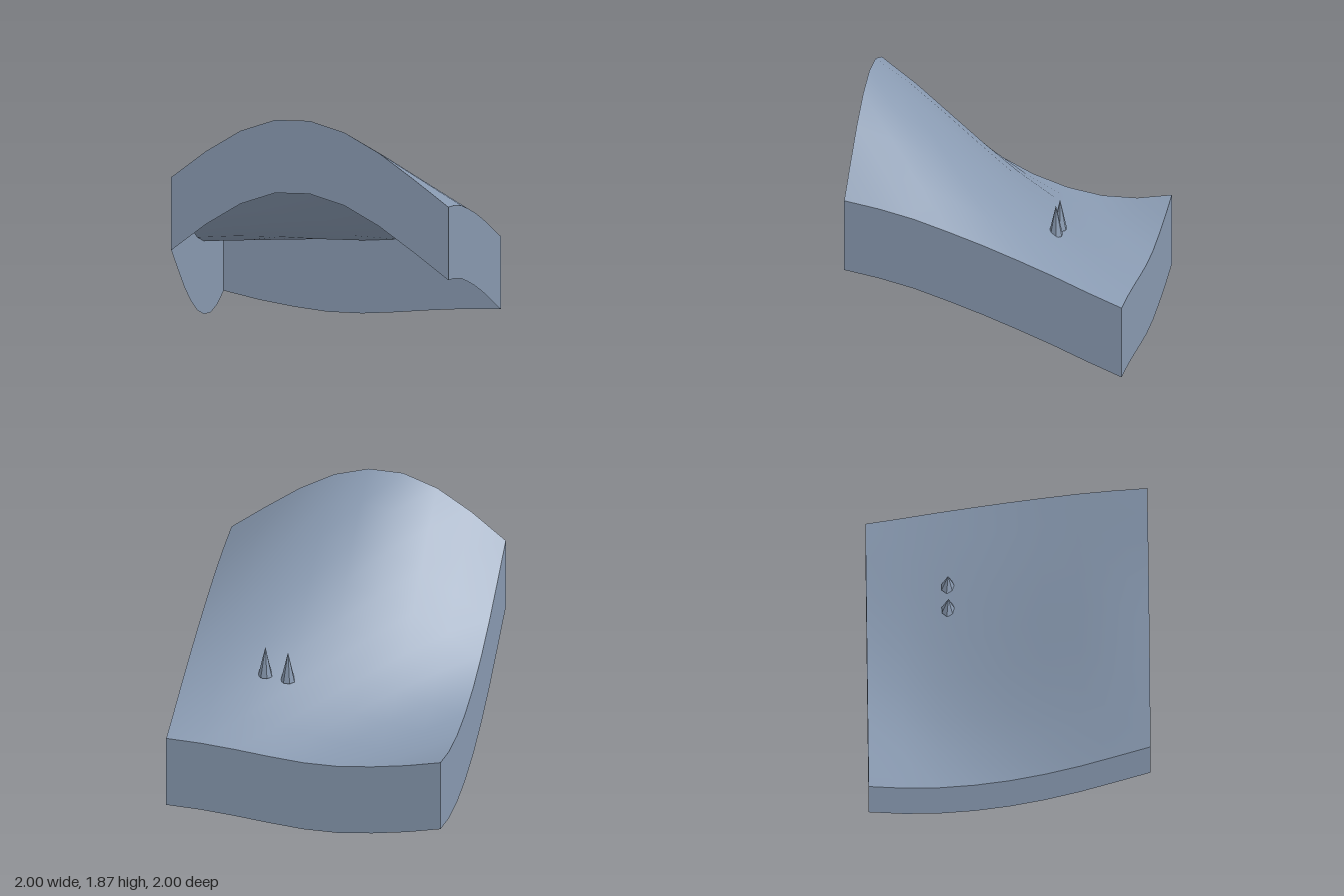
import * as THREE from 'three';

const N = 8;            // grid cells per side
const DEPTH = 0.532;    // skirt height

// edge heights, sampled from -1 to +1
const FRONT = [1.413, 1.613, 1.773, 1.863, 1.867, 1.793, 1.653, 1.473, 1.283];
const BACK = [0.654, 0.6, 0.56, 0.533, 0.532, 0.552, 0.578, 0.598, 0.606];
const LOW_SIDE = [0.654, 0.612, 0.612, 0.657, 0.742, 0.868, 1.028, 1.218, 1.413];  // x = -1
const HIGH_SIDE = [0.606, 0.708, 0.817, 0.917, 1.012, 1.098, 1.178, 1.238, 1.283]; // x = +1

const lerp = THREE.MathUtils.lerp;

// terrain height at a grid point: blend of the four edges, plus a crown
// that turns into a valley towards the back right corner
function height(i, j) {
  const s = i / N, t = j / N, x = 2 * s - 1, z = 2 * t - 1;
  const corners = lerp(lerp(BACK[0], BACK[N], s), lerp(FRONT[0], FRONT[N], s), t);
  const crown = (1 - x * x) * (1 - z * z) * (0.038 + 0.11 * x + 0.1 * z - 0.07 * x * z);
  return lerp(BACK[i], FRONT[i], t) + lerp(LOW_SIDE[j], HIGH_SIDE[j], s) - corners + crown;
}

// one straight skirt wall hanging from an edge; at(k) gives its top point
function wallGeometry(at) {
  const geo = new THREE.PlaneGeometry(2, 1, N, 1);
  const pos = geo.attributes.position;
  for (let k = 0; k <= N; k++) {
    const [x, y, z] = at(k);
    pos.setXYZ(k, x, y, z);
    pos.setXYZ(k + N + 1, x, y - DEPTH, z);
  }
  geo.computeVertexNormals();
  return geo;
}

export function createModel() {
  const group = new THREE.Group();
  group.name = 'terrainTile';
  const slate = new THREE.MeshStandardMaterial({ color: 0x8899b0, side: THREE.DoubleSide });
  slate.name = 'slateBlue';
  const add = (name, geo) => {
    const mesh = new THREE.Mesh(geo, slate);
    mesh.name = name;
    group.add(mesh);
    return mesh;
  };

  // smooth hilly ground
  const ground = new THREE.PlaneGeometry(2, 2, N, N).rotateX(-Math.PI / 2);
  const pos = ground.attributes.position;
  for (let j = 0; j <= N; j++)
    for (let i = 0; i <= N; i++) pos.setY(j * (N + 1) + i, height(i, j));
  ground.computeVertexNormals();
  add('ground', ground);

  // four skirt walls, open underneath, each running left to right seen from outside
  const c = (k) => (2 * k) / N - 1;
  add('frontWall', wallGeometry((k) => [c(k), FRONT[k], 1]));
  add('backWall', wallGeometry((k) => [c(N - k), BACK[N - k], -1]));
  add('leftWall', wallGeometry((k) => [1, HIGH_SIDE[N - k], c(N - k)]));
  add('rightWall', wallGeometry((k) => [-1, LOW_SIDE[k], c(k)]));

  // two pointed trees with flat facets, slightly sunk into the ground
  const cone = new THREE.ConeGeometry(0.052, 0.227, 7).toNonIndexed();
  cone.computeVertexNormals();
  for (const [x, base] of [[0.25, 0.863], [0.415, 0.885]]) {
    add('tree', cone).position.set(x, base + 0.1135, -0.42);
  }
  return group;
}
